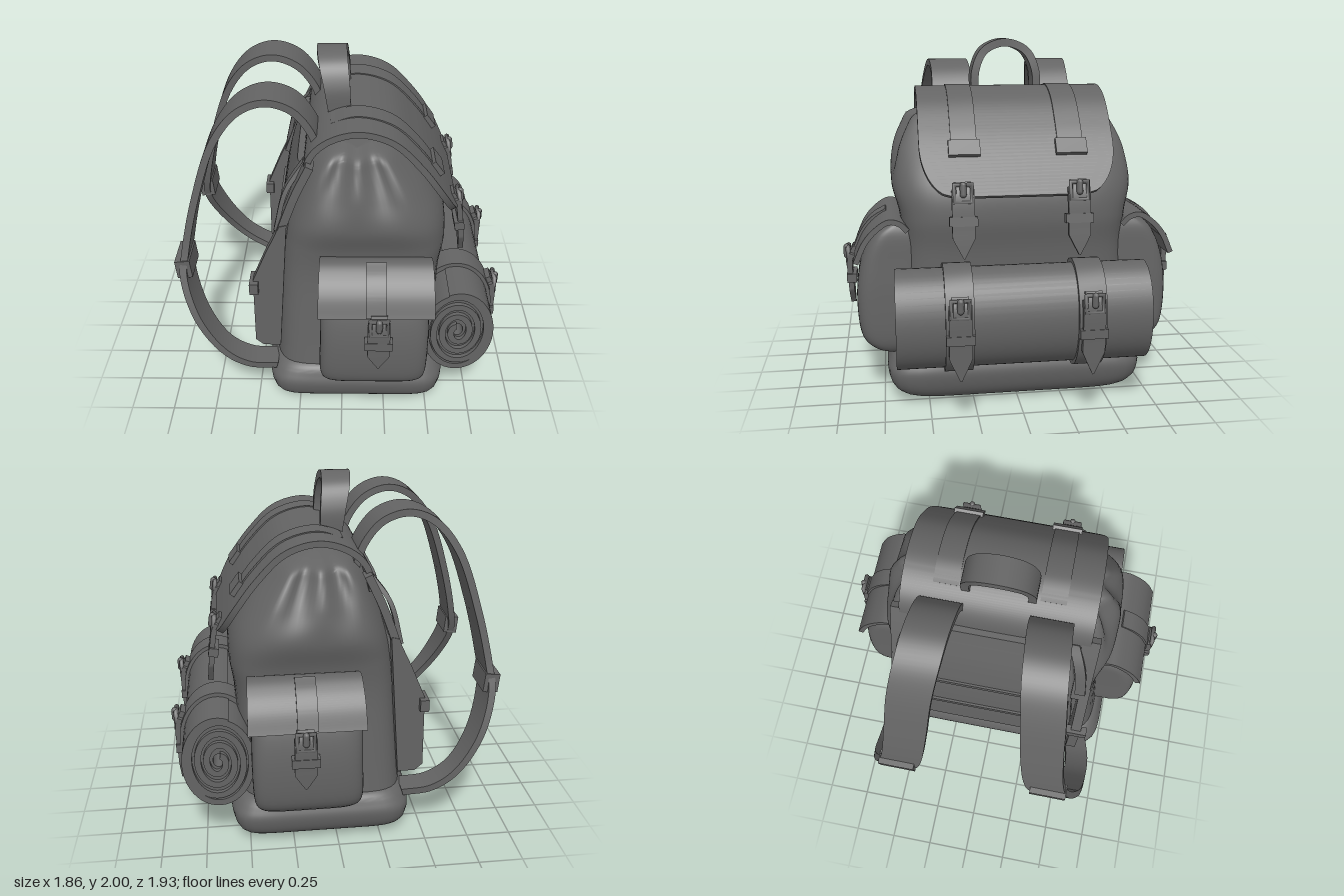
import * as THREE from 'three';
import { toCreasedNormals } from 'three/addons/utils/BufferGeometryUtils.js';

const V = (x, y, z) => new THREE.Vector3(x, y, z);

export function createModel() {
  const model = new THREE.Group();
  model.name = 'backpack';
  const canvas = new THREE.MeshStandardMaterial({ color: 0x646464, side: THREE.DoubleSide });
  canvas.name = 'grey canvas';

  const add = (name, geo, parent = model) => {
    const m = new THREE.Mesh(geo, canvas);
    m.name = name;
    parent.add(m);
    return m;
  };

  // Closed skin over a row of rings, with capped ends
  function skin(rings, crease = 0.7) {
    const n = rings[0].length, pos = [], idx = [];
    rings.forEach(r => r.forEach(p => pos.push(p.x, p.y, p.z)));
    for (let i = 0; i < rings.length - 1; i++)
      for (let j = 0; j < n; j++) {
        const k = (j + 1) % n, a = i * n + j, b = i * n + k, c = b + n, d = a + n;
        idx.push(a, b, c, a, c, d);
      }
    const e = (rings.length - 1) * n;
    for (let j = 1; j < n - 1; j++) idx.push(0, j + 1, j, e, e + j, e + j + 1);
    const g = new THREE.BufferGeometry();
    g.setAttribute('position', new THREE.Float32BufferAttribute(pos, 3));
    g.setIndex(idx);
    return toCreasedNormals(g, crease);
  }

  // Rounded-box sections [y, x0, x1, z0, z1, squareness] blended upwards
  function loft(secs, steps = 40, warp = null) {
    const ca = new THREE.CatmullRomCurve3(secs.map(s => V(s[0], s[1], s[2])), false, 'catmullrom');
    const cb = new THREE.CatmullRomCurve3(secs.map(s => V(s[3], s[4], s[5])), false, 'catmullrom');
    const rings = [];
    for (let i = 0; i <= steps; i++) {
      const a = ca.getPoint(i / steps), b = cb.getPoint(i / steps), ring = [];
      for (let j = 0; j < 104; j++) {
        const th = j / 104 * Math.PI * 2, c = Math.cos(th), s = Math.sin(th);
        const r = (Math.abs(c) ** b.z + Math.abs(s) ** b.z) ** (-1 / b.z);
        const p = V((a.y + a.z) / 2 + (a.z - a.y) / 2 * r * s, a.x, (b.x + b.y) / 2 + (b.y - b.x) / 2 * r * c);
        if (warp) warp(p);
        ring.push(p);
      }
      rings.push(ring);
    }
    return skin(rings, 0.8);
  }

  // Flat band along a path; half(t) gives its half width along axis W
  function ribbon(path, half, thick = 0.03, W = V(0, 0, 1), steps = 40) {
    const curve = Array.isArray(path) ? new THREE.CatmullRomCurve3(path) : path;
    const hw = typeof half === 'function' ? half : () => half;
    const rings = [];
    for (let i = 0; i <= steps; i++) {
      const t = i / steps, c = curve.getPoint(t);
      const N = curve.getTangent(t).cross(W).normalize().multiplyScalar(thick / 2);
      const w = W.clone().multiplyScalar(hw(t));
      rings.push([[1, 1], [-1, 1], [-1, -1], [1, -1]].map(([u, v]) =>
        c.clone().addScaledVector(w, u).addScaledVector(N, v)));
    }
    return skin(rings);
  }

  // Buckle, keeper and pointed tongue, facing +z with the buckle at the origin
  function fastener(name, x, y, z, turn, length, tilt = 0) {
    const g = new THREE.Group();
    g.name = name;
    g.position.set(x, y, z);
    g.rotation.set(tilt, turn, 0, 'YXZ');
    add('tongue', ribbon([V(0, 0.07, -0.015), V(0, 0, 0.015), V(0, -length * 0.6, 0.012), V(0, -length, 0.005)],
      t => t < 0.2 ? 0.045 : t < 0.72 ? 0.06 : 0.004 + 0.056 * (1 - t) / 0.28, 0.03, V(1, 0, 0)), g);
    const frame = add('buckleFrame', new THREE.TorusGeometry(0.065, 0.015, 6, 4).rotateZ(Math.PI / 4), g);
    frame.position.set(0, 0.015, 0.025);
    const pin = add('buckleBar', new THREE.CapsuleGeometry(0.018, 0.05, 4, 8), g);
    pin.position.set(0, 0.035, 0.035);
    const keeper = add('keeper', new THREE.BoxGeometry(0.15, 0.05, 0.055), g);
    keeper.position.set(0, -length * 0.4, 0.008);
    model.add(g);
  }

  // Main bag, with folds fanning down from the drawn top
  add('bagBody', loft([
    [0.2, -0.4, 0.55, -0.68, 0.68, 6], [0.5, -0.38, 0.55, -0.65, 0.65, 6],
    [0.85, -0.36, 0.56, -0.625, 0.625, 5.5], [1.05, -0.34, 0.585, -0.64, 0.64, 5],
    [1.22, -0.31, 0.565, -0.68, 0.68, 4], [1.38, -0.26, 0.485, -0.65, 0.65, 3.6],
    [1.52, -0.2, 0.38, -0.59, 0.59, 3.4], [1.59, -0.14, 0.31, -0.55, 0.55, 3],
    [1.625, -0.07, 0.23, -0.46, 0.46, 2.5]], 70, p => {
    const k = THREE.MathUtils.smoothstep(p.y, 1.2, 1.55);
    p.z *= 1 + 0.09 * k * Math.cos((p.x - 0.08) * 11 / (1.85 - p.y)) * Math.abs(p.z);
  }));

  // Reinforced base
  add('base', loft([
    [0, -0.24, 0.44, -0.48, 0.48, 8], [0.025, -0.34, 0.53, -0.62, 0.62, 9],
    [0.08, -0.41, 0.58, -0.7, 0.7, 9], [0.17, -0.435, 0.605, -0.73, 0.73, 8],
    [0.23, -0.425, 0.595, -0.715, 0.715, 7], [0.275, -0.4, 0.57, -0.69, 0.69, 6], [0.3, -0.37, 0.53, -0.64, 0.64, 6]], 30));

  // Top flap with rounded front corners
  const flapPath = [V(-0.2, 1.45, 0), V(-0.17, 1.58, 0), V(-0.08, 1.67, 0), V(0.08, 1.718, 0),
    V(0.26, 1.67, 0), V(0.41, 1.53, 0), V(0.535, 1.36, 0), V(0.63, 1.19, 0)];
  add('topFlap', ribbon(flapPath, t => t < 0.78 ? 0.53 : 0.35 + 0.18 * Math.sqrt(Math.max(0, 1 - ((t - 0.78) / 0.22) ** 2)),
    0.035, undefined, 70));

  // Carry handle
  add('carryHandle', ribbon([V(-0.015, 1.67, 0.18), V(-0.03, 1.82, 0.175), V(-0.05, 1.93, 0.12), V(-0.06, 1.975, 0),
    V(-0.05, 1.93, -0.12), V(-0.03, 1.82, -0.175), V(-0.015, 1.67, -0.18)],
  t => 0.06 + 0.022 * Math.sin(Math.PI * t), 0.045, V(1, 0, 0)));

  // Padded back panel
  add('backPanel', loft([
    [0.3, -0.42, -0.3, -0.5, 0.5, 7], [0.55, -0.41, -0.3, -0.52, 0.52, 7],
    [0.85, -0.39, -0.28, -0.5, 0.5, 7], [1.2, -0.335, -0.22, -0.48, 0.48, 7],
    [1.5, -0.245, -0.15, -0.42, 0.42, 7]], 24));
  for (const y of [0.62, 0.95]) {
    const seam = add('backPanelBand', new THREE.BoxGeometry(0.02, 0.04, 0.96));
    seam.position.set(y < 0.8 ? -0.41 : -0.378, y, 0);
  }

  // Bedroll: one sheet wound in an oval spiral round a hollow core
  class Spiral extends THREE.Curve {
    getPoint(t, out = V(0, 0, 0)) {
      const r = Math.min(1, 0.16 + 1.08 * t), a = 1.9 - (1 - t) * 4 * Math.PI * 2;
      return out.set(0.66 + 0.182 * r * Math.cos(a), 0.545 + 0.257 * r * Math.sin(a), 0);
    }
  }
  add('bedroll', ribbon(new Spiral(), 0.68, 0.036, undefined, 180));
  const core = new THREE.Shape().absellipse(0.66, 0.545, 0.176, 0.25, 0, Math.PI * 2);
  core.holes.push(new THREE.Path().absellipse(0.66, 0.545, 0.03, 0.04, 0, Math.PI * 2, true));
  add('bedrollFilling', new THREE.ExtrudeGeometry(core, { depth: 1.31, bevelEnabled: false, curveSegments: 32 }).translate(0, 0, -0.655));

  // Side view of the stiff wing along each back edge
  const wing = new THREE.Shape([[-0.36, 0.36], [-0.3, 1.2], [-0.34, 1.19], [-0.42, 1.02], [-0.5, 0.83], [-0.505, 0.4], [-0.46, 0.36]]
    .map(p => new THREE.Vector2(p[0], p[1])));

  for (const s of [1, -1]) {
    const side = s > 0 ? 'left' : 'right';

    // Shoulder strap and its adjuster
    add(side + 'ShoulderStrap', ribbon([[-0.12, 1.53, 0.3], [-0.17, 1.68, 0.3], [-0.27, 1.8, 0.3], [-0.41, 1.845, 0.31],
      [-0.55, 1.795, 0.325], [-0.68, 1.635, 0.35], [-0.8, 1.3, 0.38], [-0.875, 0.98, 0.42], [-0.89, 0.84, 0.46],
      [-0.815, 0.59, 0.56], [-0.68, 0.39, 0.61], [-0.54, 0.295, 0.61], [-0.38, 0.25, 0.57]]
      .map(p => V(p[0], p[1], p[2] * s)), t => 0.118 - 0.046 * THREE.MathUtils.smoothstep(t, 0.65, 0.85), 0.04, undefined, 80));
    const adj = add(side + 'StrapAdjuster', new THREE.BoxGeometry(0.085, 0.11, 0.21));
    adj.position.set(-0.89, 0.88, 0.45 * s);
    adj.rotation.z = 0.1;

    // Back edge wing, strip and anchor tabs
    add(side + 'BackWing', new THREE.ExtrudeGeometry(wing, { depth: 0.06, bevelEnabled: false }).translate(0, 0, 0.555 * s - 0.03));
    add(side + 'BackStrip', ribbon([[-0.17, 1.55], [-0.25, 1.38], [-0.325, 1.18], [-0.36, 1.08]]
      .map(p => V(p[0], p[1], 0.53 * s)), 0.05, 0.045));
    const tab = add(side + 'StripTab', new THREE.BoxGeometry(0.05, 0.07, 0.13));
    tab.position.set(-0.495, 0.79, 0.555 * s);
    add(side + 'LoadStrap', ribbon([V(-0.2, 1.52, 0.44 * s), V(-0.3, 1.38, 0.5 * s), V(-0.36, 1.15, 0.53 * s)], 0.03, 0.025));

    // Flap straps with loops, and the buckles below
    add(side + 'FlapStrap', ribbon([[-0.06, 1.692], [0.08, 1.732], [0.27, 1.682], [0.425, 1.538], [0.515, 1.415]]
      .map(p => V(p[0], p[1], 0.29 * s)), 0.07, 0.02));
    const loop = add(side + 'FlapLoop', new THREE.BoxGeometry(0.05, 0.09, 0.17));
    loop.position.set(0.512, 1.43, 0.29 * s);
    loop.rotation.z = 0.63;
    fastener(side + 'FlapFastener', 0.635, 1.2, 0.31 * s, Math.PI / 2, 0.33, -0.15);

    // Straps round the bedroll
    const hoop = [];
    for (let i = 0; i <= 12; i++) {
      const a = 2.5 - i / 12 * 4.9;
      hoop.push(V(0.66 + 0.206 * Math.cos(a), 0.545 + 0.284 * Math.sin(a), 0.35 * s));
    }
    add(side + 'RollStrap', ribbon(hoop, 0.075, 0.028));
    fastener(side + 'RollFastener', 0.868, 0.65, 0.35 * s, Math.PI / 2, 0.38);

    // Side pocket with its flap and buckle
    const sec = (y, x0, x1, zo, n) => [y, x0, x1, s > 0 ? 0.5 : -zo, s > 0 ? zo : -0.5, n];
    add(side + 'Pocket', loft([sec(0.25, -0.04, 0.4, 0.72, 5), sec(0.29, -0.1, 0.45, 0.81, 5.5), sec(0.38, -0.125, 0.475, 0.875, 6),
      sec(0.6, -0.12, 0.48, 0.89, 6), sec(0.8, -0.12, 0.475, 0.86, 6), sec(0.95, -0.12, 0.47, 0.79, 6), sec(1.02, -0.1, 0.45, 0.7, 6)], 30));
    const lid = o => [[0.6, 0.98], [0.64, 1.02], [0.7, 1.035], [0.775, 0.99], [0.835, 0.92], [0.885, 0.81]]
      .map(p => V(0.185, p[1] + o, (p[0] + o) * s));
    add(side + 'PocketFlap', ribbon(lid(0), t => 0.3 + 0.012 * t, 0.03, V(1, 0, 0)));
    add(side + 'PocketStrap', ribbon(lid(0.014).slice(2), 0.055, 0.02, V(1, 0, 0)));
    fastener(side + 'PocketFastener', 0.2, 0.77, 0.91 * s, s > 0 ? 0 : Math.PI, 0.27);
  }
  return model;
}
